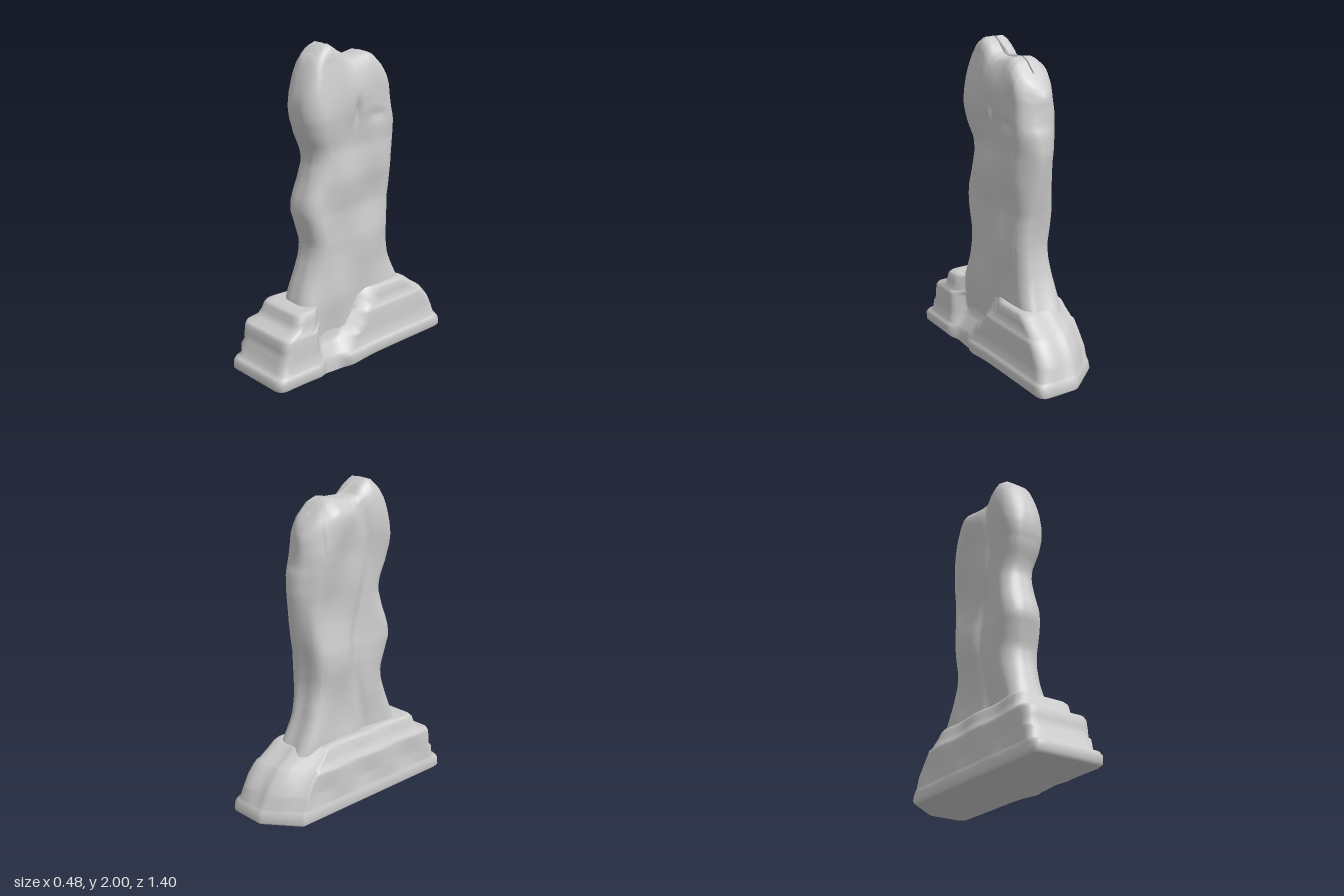
import * as THREE from 'three';

const { clamp, lerp, smoothstep } = THREE.MathUtils;
const gauss = (v, c, w) => Math.exp(-(((v - c) / w) ** 2));

// Linear lookup in rows sorted by their first column
function lookup(rows, v) {
  let i = 0;
  while (i < rows.length - 2 && v > rows[i + 1][0]) i++;
  const a = rows[i], b = rows[i + 1];
  const t = clamp((v - a[0]) / (b[0] - a[0]), 0, 1);
  return a.map((n, k) => lerp(n, b[k], t));
}

// Rounded rectangle seen from above, counter-clockwise, as [x, z] pairs
function ring([, zf, zb, xl, xr], radius, nx = 18, nz = 64) {
  const pts = [];
  for (let i = 0; i < nx; i++) pts.push([lerp(xl, xr, i / nx), zf]);
  for (let i = 0; i < nz; i++) pts.push([xr, lerp(zf, zb, i / nz)]);
  for (let i = 0; i < nx; i++) pts.push([lerp(xr, xl, i / nx), zb]);
  for (let i = 0; i < nz; i++) pts.push([xl, lerp(zb, zf, i / nz)]);
  const r = Math.min(radius, (xr - xl) * 0.48);
  return pts.map(([x, z]) => {
    const cx = clamp(x, xl + r, xr - r), cz = clamp(z, zb + r, zf - r);
    const d = Math.hypot(x - cx, z - cz) || 1;
    return [cx + ((x - cx) * r) / d, cz + ((z - cz) * r) / d];
  });
}

// Skin a stack of equal rings, closing both ends with flat fans
function loft(rings) {
  const n = rings[0].length, pos = rings.flat(2), idx = [];
  for (let j = 0; j < rings.length - 1; j++) {
    for (let i = 0; i < n; i++) {
      const a = j * n + i, b = j * n + ((i + 1) % n);
      idx.push(a, b, b + n, a, b + n, a + n);
    }
  }
  [rings[0], rings[rings.length - 1]].forEach((loop, top) => {
    const start = pos.length / 3;
    pos.push(...loop.flat());
    pos.push(...[0, 1, 2].map((k) => loop.reduce((s, p) => s + p[k], 0) / n));
    for (let i = 0; i < n; i++) {
      const a = start + i, b = start + ((i + 1) % n);
      idx.push(start + n, ...(top ? [a, b] : [b, a]));
    }
  });
  const g = new THREE.BufferGeometry();
  g.setAttribute('position', new THREE.Float32BufferAttribute(pos, 3));
  g.setIndex(idx);
  g.computeVertexNormals();
  return g;
}

// Stepped plinth: height, front z, back z, right x, left x
const BASE = [
  [0.02, 0.685, -0.685, -0.225, 0.225], [0.035, 0.7, -0.7, -0.24, 0.238],
  [0.08, 0.7, -0.692, -0.236, 0.24], [0.102, 0.685, -0.68, -0.23, 0.232],
  [0.115, 0.65, -0.672, -0.226, 0.216], [0.18, 0.645, -0.65, -0.224, 0.21],
  [0.2, 0.622, -0.64, -0.222, 0.21], [0.25, 0.62, -0.615, -0.224, 0.208],
  [0.3, 0.615, -0.575, -0.225, 0.205], [0.322, 0.6, -0.555, -0.222, 0.2],
  [0.336, 0.53, -0.54, -0.205, 0.185], [0.38, 0.505, -0.475, -0.19, 0.182],
  [0.42, 0.495, -0.425, -0.18, 0.178], [0.436, 0.48, -0.4, -0.17, 0.165],
  [0.44, 0.45, -0.38, -0.15, 0.145],
];
// Rear edge of the hollow in the left side, by height
const HOLLOW = [[0.02, 0.14], [0.14, 0.19], [0.2, 0.09], [0.28, 0.02], [0.36, -0.03], [0.44, -0.12]];

function baseGeometry() {
  return loft(BASE.map((row) => {
    const y = row[0];
    return ring(row, 0.05).map(([x, z]) => {
      // Cut the rear right corner off at a slant
      const d = -0.62 * (x + 0.235) - 0.785 * (z + 0.53 - (row[2] + 0.7));
      if (d > 0) { x += 0.62 * d; z += 0.785 * d; }
      // Hollow between the front and rear blocks
      if (x > 0.1) {
        const rear = lookup(HOLLOW, y)[1];
        const inside = smoothstep(z, rear - 0.06, rear + 0.05) * (1 - smoothstep(z, 0.29, 0.38));
        x = lerp(x, Math.min(x, lerp(0.2, 0.125, smoothstep(y, 0.06, 0.24))), inside);
      }
      // Worn right side and rear
      if (x < -0.1) x += 0.007 * Math.sin(z * 17 + y * 9) * smoothstep(y, 0.08, 0.2);
      if (z < -0.3) z += 0.01 * Math.sin(x * 30 + 1) * smoothstep(y, 0.05, 0.2);
      const drop = 0.02 * gauss(z, 0.17, 0.17) * smoothstep(x, -0.24, 0.2) * (1 - smoothstep(y, 0.02, 0.2));
      return [x, y - drop, z];
    });
  }));
}

// Upright slab: height, front z, back z, right x, left x
const SLAB = [
  [0.1, 0.4, -0.5, -0.12, 0.13], [0.3, 0.41, -0.47, -0.125, 0.135],
  [0.44, 0.39, -0.405, -0.125, 0.138], [0.52, 0.365, -0.37, -0.12, 0.134],
  [0.6, 0.338, -0.34, -0.118, 0.13], [0.72, 0.303, -0.312, -0.117, 0.132],
  [0.8, 0.295, -0.305, -0.12, 0.136], [0.9, 0.318, -0.31, -0.13, 0.13],
  [1.0, 0.343, -0.322, -0.132, 0.122], [1.07, 0.338, -0.335, -0.125, 0.127],
  [1.2, 0.295, -0.355, -0.113, 0.138], [1.31, 0.272, -0.37, -0.11, 0.133],
  [1.38, 0.285, -0.377, -0.115, 0.128], [1.48, 0.325, -0.37, -0.122, 0.14],
  [1.6, 0.345, -0.352, -0.127, 0.15], [1.7, 0.352, -0.345, -0.13, 0.148],
  [1.8, 0.35, -0.34, -0.125, 0.14], [1.88, 0.338, -0.338, -0.118, 0.128],
  [1.94, 0.32, -0.33, -0.105, 0.112], [1.98, 0.3, -0.315, -0.08, 0.09],
  [2.0, 0.28, -0.29, -0.05, 0.06], [2.002, 0.25, -0.26, 0.0, 0.01],
];
// Height of the crest along z
const CREST = [
  [-0.36, 1.73], [-0.32, 1.77], [-0.25, 1.84], [-0.19, 1.9], [-0.14, 1.92], [-0.06, 1.905], [0, 1.9],
  [0.05, 1.915], [0.1, 1.965], [0.155, 2], [0.2, 1.985], [0.27, 1.925], [0.35, 1.82],
];

function slabGeometry() {
  const heights = [];
  for (let i = 0; i < 56; i++) heights.push(0.1 + (1.8 * i) / 56);
  heights.push(1.9, 1.92, 1.94, 1.96, 1.98, 1.99, 2, 2.002);
  return loft(heights.map((h) => ring(lookup(SLAB, h), 0.1).map(([x, z]) => {
    const side = clamp(x / 0.08, -1, 1);
    const calm = 1 - smoothstep(h, 1.9, 2);
    // Weathered undulation of both broad faces
    let bump = 0.006 * Math.sin(h * 11 + z * 9 + side) + 0.005 * Math.sin(z * 19 - h * 7 + 2 * side);
    if (side > 0) {
      // Short crack and shelf on the left face
      bump -= 0.022 * gauss(z, -0.01, 0.02) * gauss(h, 1.62, 0.08);
      bump -= 0.014 * gauss(z, -0.17, 0.07) * gauss(h, 1.56, 0.03);
    } else {
      // Swelling near the top and a long furrow on the right face
      bump += 0.034 * gauss(z, -0.14, 0.13) * gauss(h, 1.85, 0.2);
      bump -= 0.014 * gauss(z, 0.06 + 0.05 * Math.sin(h * 5), 0.04);
    }
    const zz = z + (z < -0.25 ? 0.012 * Math.sin(x * 26 + h * 3) * calm : 0);
    const top = lookup(CREST, z)[1];
    const y = h < 1.5 ? h : 1.5 + ((h - 1.5) * (top - 1.5)) / 0.5;
    return [x + side * bump * calm, Math.min(y, 2), zz];
  })));
}

export function createModel() {
  const model = new THREE.Group();
  model.name = 'weatheredStoneMonument';
  const stone = new THREE.MeshStandardMaterial({ color: 0xcccccc });
  const parts = { steppedBase: baseGeometry(), uprightSlab: slabGeometry() };
  for (const [name, geometry] of Object.entries(parts)) {
    const mesh = new THREE.Mesh(geometry, stone);
    mesh.name = name;
    model.add(mesh);
  }
  return model;
}
